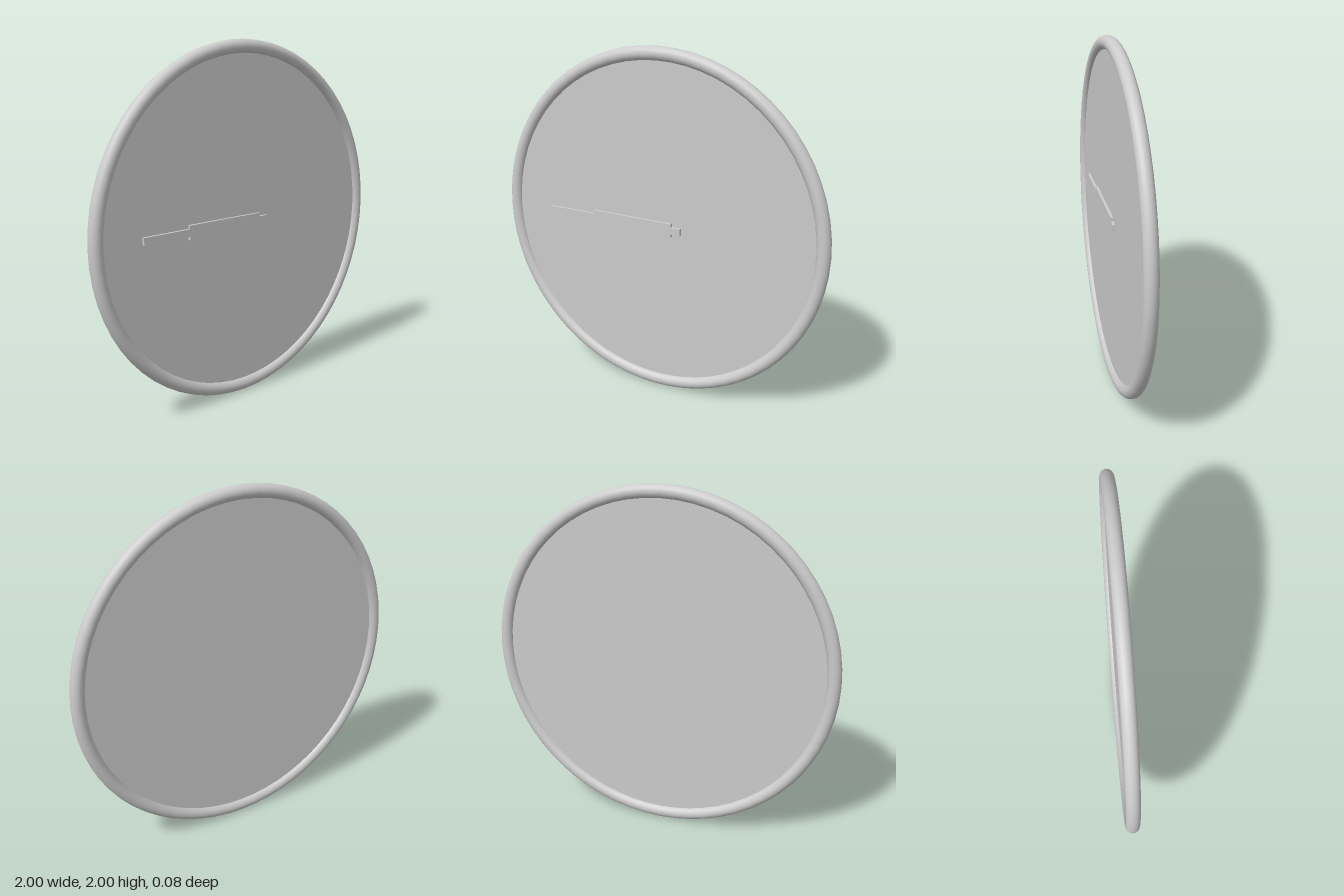
import * as THREE from 'three';

const RADIUS = 0.962; // centre line of the rim
const TUBE = 0.038;
const FACE_Z = 0.012; // half thickness of the disc
const HAND_Z = 0.028; // front of the pointer

export function createModel() {
  const group = new THREE.Group();
  const material = new THREE.MeshStandardMaterial({ color: 0xcccccc });
  const add = (name, geometry) => {
    const mesh = new THREE.Mesh(geometry, material);
    mesh.name = name;
    mesh.position.y = 1;
    group.add(mesh);
    return mesh;
  };

  // Round rim
  add('rim', new THREE.TorusGeometry(RADIUS, TUBE, 24, 64));

  // Thin flat disc filling the rim
  const disc = new THREE.CylinderGeometry(RADIUS, RADIUS, FACE_Z * 2, 64);
  disc.rotateX(Math.PI / 2);
  disc.rotateZ(Math.PI / 2);
  add('face', disc);

  // Stepped pointer: upper outline from tip to tail, mirrored below
  const half = [[-0.695, 0.02], [-0.4, 0.02], [-0.4, 0.04], [0.1, 0.04], [0.1, 0.02], [0.157, 0.02]];
  const lower = half.map(([x, y]) => [x, -y]).reverse();
  const outline = new THREE.Shape([...half, ...lower].map(([x, y]) => new THREE.Vector2(x, y)));
  const pointer = new THREE.ExtrudeGeometry(outline, { depth: HAND_Z, bevelEnabled: false });
  add('pointer', pointer);

  return group;
}
